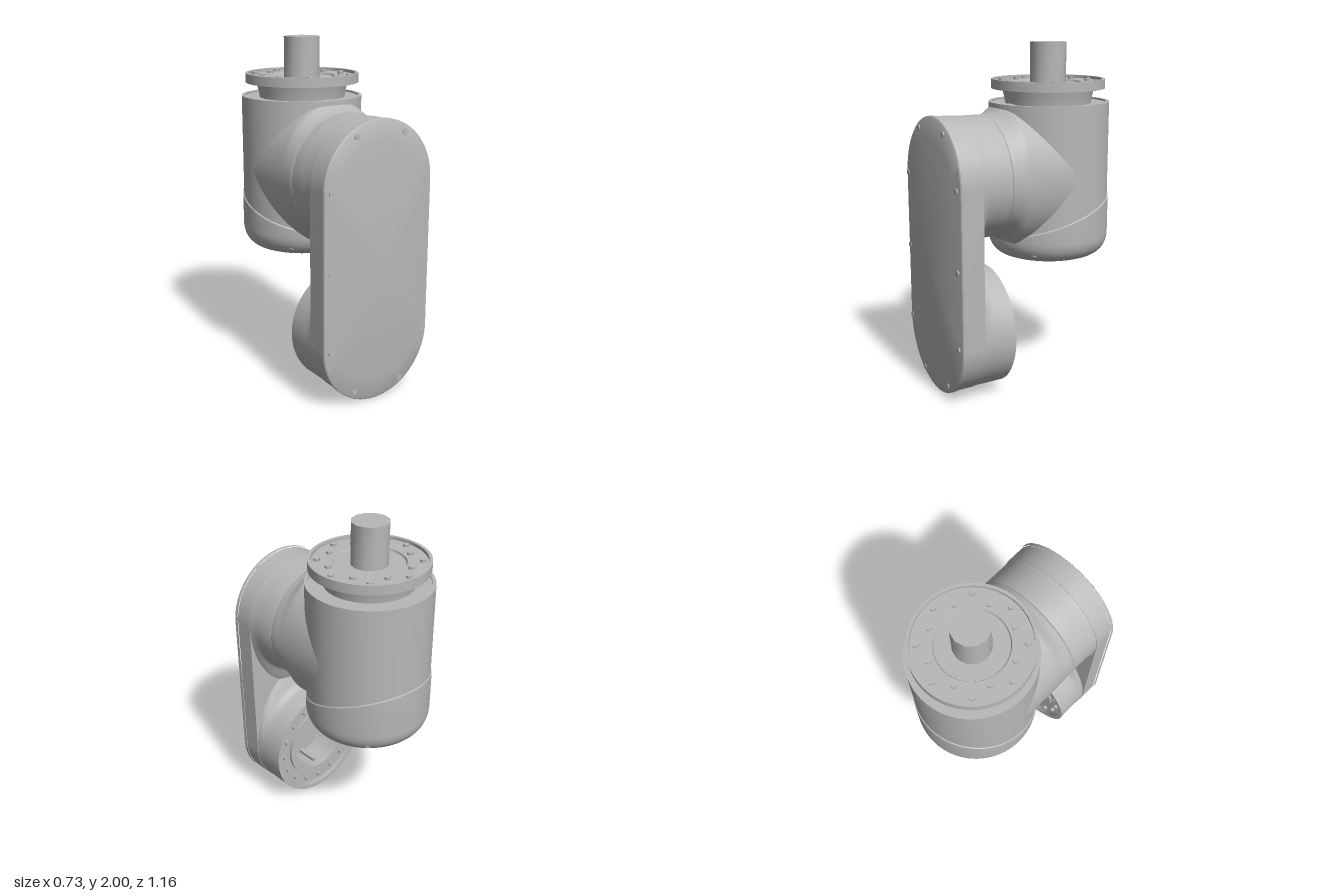
import * as THREE from 'three';
import { toCreasedNormals } from 'three/addons/utils/BufferGeometryUtils.js';

const LOW = 0.363, HIGH = 1.247;  // heights of the two joint axes
const BODY_Z = -0.22;             // upright axis

export function createModel() {
  const model = new THREE.Group();
  const grey = new THREE.MeshStandardMaterial({ color: 0xb8b8b8 });
  grey.name = 'machined grey';

  function add(name, geometry, parent = model) {
    const mesh = new THREE.Mesh(geometry, grey);
    mesh.name = name;
    parent.add(mesh);
    return mesh;
  }

  function group(name) {
    const g = new THREE.Group();
    g.name = name;
    model.add(g);
    return g;
  }

  // Turned part from [radius, height] pairs
  function lathe(points) {
    return new THREE.LatheGeometry(points.map(([r, h]) => new THREE.Vector2(r, h)), 64);
  }
  const turned = (points) => toCreasedNormals(lathe(points), 0.5);

  // Skin over cross-sections [z, halfWidth, up, down], ordered front to back
  function housing(yc, rings, n = 64) {
    const pos = [], idx = [];
    rings.forEach(([z, w, up, down], i) => {
      for (let j = 0; j < n; j++) {
        const a = (j / n) * Math.PI * 2, s = Math.sin(a);
        pos.push(w * Math.cos(a), yc + s * (s > 0 ? up : down), z);
        if (i < rings.length - 1) {
          const p = i * n + j, q = i * n + (j + 1) % n;
          idx.push(p, p + n, q, q, p + n, q + n);
        }
      }
    });
    const g = new THREE.BufferGeometry();
    g.setAttribute('position', new THREE.Float32BufferAttribute(pos, 3));
    g.setIndex(idx);
    g.computeVertexNormals();
    return g;
  }

  // Stadium outline around the two joint axes
  function stadium(r) {
    const s = new THREE.Shape();
    s.absarc(0, HIGH, r, 0, Math.PI, false);
    s.absarc(0, LOW, r, Math.PI, Math.PI * 2, false);
    s.closePath();
    return s;
  }

  // Link plate
  const plate = new THREE.ExtrudeGeometry(stadium(0.36), { depth: 0.11, bevelEnabled: false, curveSegments: 32 });
  plate.translate(0, 0, 0.40);
  add('linkPlate', toCreasedNormals(plate, 0.5));

  // Domed cover: scaled outlines rising towards the middle
  const outline = stadium(0.365).getPoints(28).slice(0, -1);
  const n = outline.length, mid = (LOW + HIGH) / 2;
  const levels = [[1, 0.508], [1, 0.53]];
  for (let s = 0.985; s > 0; s -= 0.14) levels.push([s, 0.535 + 0.045 * (1 - s * s)]);
  levels.push([0, 0.58]);
  const pos = [], idx = [];
  levels.forEach(([s, z], i) => {
    outline.forEach((p, j) => {
      pos.push(p.x * s, mid + (p.y - mid) * s, z);
      if (i < levels.length - 1) {
        const a = i * n + j, b = i * n + (j + 1) % n;
        idx.push(a, b, a + n, b, b + n, a + n);
      }
    });
  });
  const dome = new THREE.BufferGeometry();
  dome.setAttribute('position', new THREE.Float32BufferAttribute(pos, 3));
  dome.setIndex(idx);
  add('frontCover', toCreasedNormals(dome, 0.5));

  // Cover screws along the rim
  const screws = group('coverScrews');
  for (const side of [-1, 1]) {
    for (const [x, y, z] of [[0.322, 1.25, 0.535], [0.322, 0.805, 0.535], [0.322, 0.36, 0.535],
      [0.16, 1.53, 0.531], [0.16, 0.08, 0.531]]) {
      const screw = add('coverScrew', new THREE.CylinderGeometry(0.018, 0.018, 0.03, 6), screws);
      screw.rotation.x = Math.PI / 2;
      screw.position.set(side * x, y, z);
    }
  }

  // Lower hub, flared up into the plate
  add('lowerHub', housing(LOW, [
    [0.41, 0.358, 0.52, 0.358], [0.378, 0.356, 0.455, 0.356], [0.37, 0.356, 0.41, 0.356],
    [0.35, 0.355, 0.372, 0.356], [0.31, 0.355, 0.356, 0.356], [0.2, 0.355, 0.348, 0.356],
  ]));

  // Open socket at the back of the lower hub
  const socket = turned([
    [0.355, -0.2], [0.325, -0.2], [0.325, -0.228], [0.24, -0.228],
    [0.24, -0.212], [0.2, -0.212], [0.2, -0.46], [0, -0.46],
  ]);
  socket.rotateX(-Math.PI / 2);
  add('hubSocket', socket).position.y = LOW - 0.004;

  const fittings = group('socketFittings');
  fittings.position.y = LOW - 0.004;
  for (let i = 0; i < 16; i++) {
    const a = (i / 16) * Math.PI * 2;
    const bolt = add('socketBolt', new THREE.CylinderGeometry(0.018, 0.018, 0.03, 6), fittings);
    bolt.rotation.x = Math.PI / 2;
    bolt.position.set(0.282 * Math.cos(a), 0.282 * Math.sin(a), 0.223);
    if (i % 2) continue;
    const tooth = add('socketTooth', new THREE.BoxGeometry(0.03, 0.03, 0.16), fittings);
    tooth.position.set(0.192 * Math.cos(a), 0.192 * Math.sin(a), 0.34);
    tooth.rotation.z = a;
  }

  // Upper hub, flared down into the plate
  add('upperHub', housing(HIGH, [
    [0.41, 0.358, 0.358, 0.5], [0.378, 0.356, 0.356, 0.445], [0.37, 0.355, 0.356, 0.395],
    [0.35, 0.354, 0.356, 0.362], [0.31, 0.354, 0.355, 0.349], [0.217, 0.354, 0.355, 0.347],
    [0.215, 0.348, 0.349, 0.341],
  ]));

  // Neck running into the upright body, dying out at its widest line
  add('bodyNeck', housing(HIGH, [
    [0.213, 0.348, 0.349, 0.341], [0.211, 0.354, 0.355, 0.347], [0.18, 0.354, 0.358, 0.348],
    [0.15, 0.354, 0.375, 0.362], [0.12, 0.354, 0.4, 0.4], [0.1, 0.354, 0.408, 0.43],
    [-0.05, 0.354, 0.408, 0.43], [BODY_Z, 0.354, 0.408, 0.43],
  ]));

  // Upright body with rounded foot, recessed underside and a slanted seam
  const bodyProfile = [[0, 0.79], [0.22, 0.79], [0.235, 0.753]];
  for (let i = 0; i <= 8; i++) {
    const a = (i / 8) * Math.PI / 2;
    bodyProfile.push([0.26 + 0.101 * Math.sin(a), 0.753 + 0.125 * (1 - Math.cos(a))]);
  }
  bodyProfile.push([0.361, 1.01], [0.355, 1.015], [0.355, 1.66], [0.335, 1.66], [0.335, 1.65], [0.25, 1.65]);
  const body = lathe(bodyProfile);
  const vertices = body.attributes.position;
  for (let i = 0; i < vertices.count; i++) {
    const y = vertices.getY(i);
    if (y > 1 && y < 1.1) vertices.setY(i, y - 0.33 * vertices.getZ(i));
  }
  add('uprightBody', toCreasedNormals(body, 0.5)).position.z = BODY_Z;

  // Output flange with a recessed face
  add('outputFlange', turned([
    [0.252, 1.645], [0.256, 1.68], [0.27, 1.735], [0.333, 1.735], [0.333, 1.79],
    [0.315, 1.79], [0.315, 1.772], [0.2, 1.772], [0.195, 1.76], [0, 1.76],
  ])).position.z = BODY_Z + 0.005;

  // Output shaft
  const shaft = new THREE.CylinderGeometry(0.105, 0.105, 0.25, 12);
  add('outputShaft', toCreasedNormals(shaft, 0.6)).position.set(0, 1.875, BODY_Z + 0.005);

  // Flange bolts in two staggered rings
  const bolts = group('flangeBolts');
  bolts.position.z = BODY_Z + 0.005;
  for (let i = 0; i < 16; i++) {
    const a = (i / 16) * Math.PI * 2, r = i % 2 ? 0.235 : 0.282;
    add('flangeBolt', new THREE.CylinderGeometry(0.018, 0.018, 0.024, 6), bolts)
      .position.set(r * Math.cos(a), 1.774, r * Math.sin(a));
  }

  // Four screws on the rounded foot
  const foot = group('footScrews');
  foot.position.z = BODY_Z;
  for (let i = 0; i < 4; i++) {
    const a = (i + 0.5) * Math.PI / 2;
    const screw = add('footScrew', new THREE.CylinderGeometry(0.018, 0.018, 0.03, 6), foot);
    screw.position.set(0.322 * Math.cos(a), 0.8, 0.322 * Math.sin(a));
    screw.quaternion.setFromUnitVectors(new THREE.Vector3(0, 1, 0),
      new THREE.Vector3(Math.cos(a), -1, Math.sin(a)).normalize());
  }

  return model;
}
